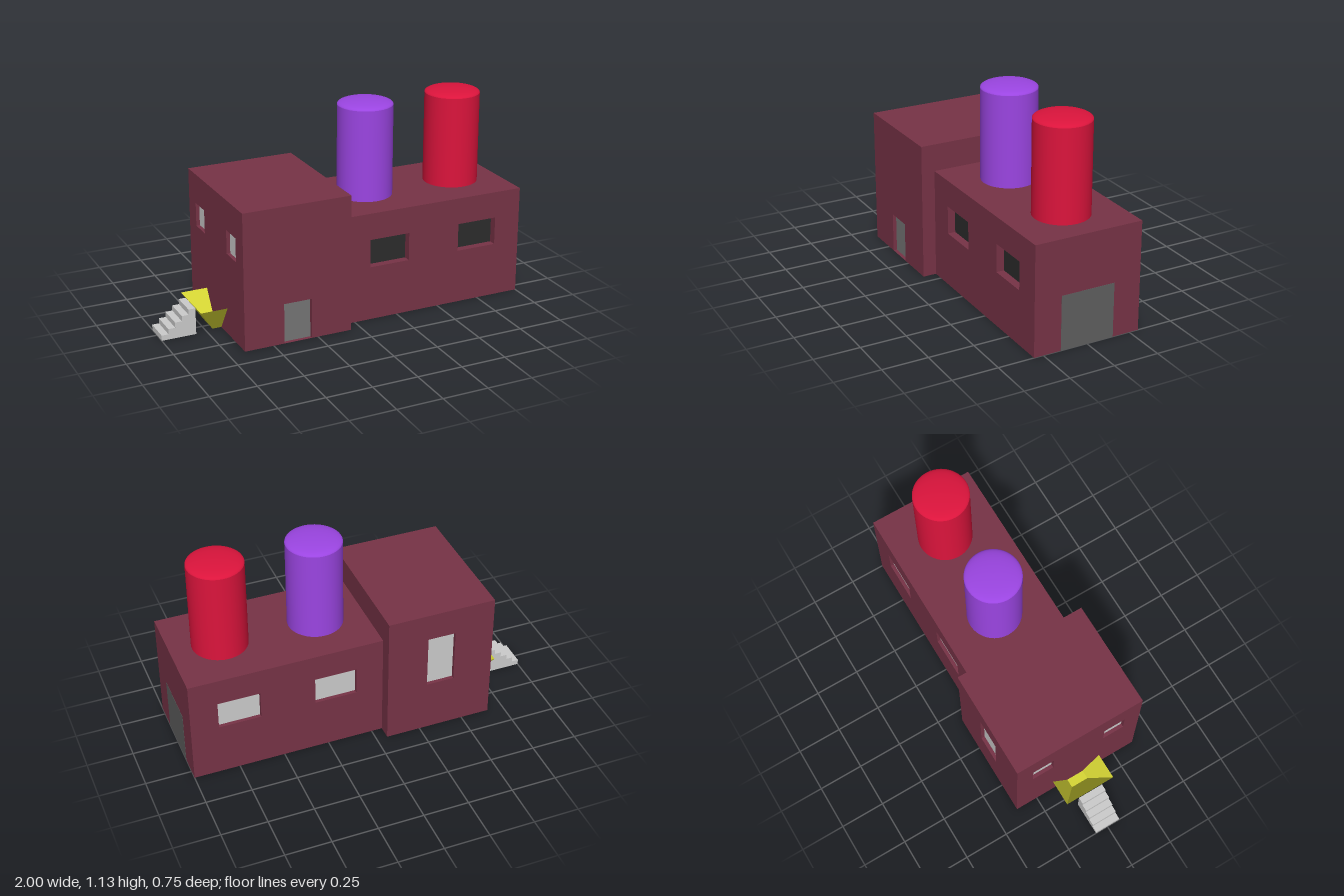
import * as THREE from 'three';

const mat = (color, side = THREE.FrontSide) => new THREE.MeshStandardMaterial({ color, side });
const wallMat = mat(0x773346);
const greyMat = mat(0xcccccc);
const darkMat = mat(0x2c2c2c);
const frontDoorMat = mat(0x757575);
const gateMat = mat(0x5f5f5f);
const hopperMat = mat(0xd8d835, THREE.DoubleSide);
hopperMat.flatShading = true;

const BASE = 0.005;

function add(parent, name, geometry, material) {
  const mesh = new THREE.Mesh(geometry, material);
  mesh.name = name;
  parent.add(mesh);
  return mesh;
}

// Box given by its two opposite corners
function block(parent, name, [x0, y0, z0], [x1, y1, z1], material) {
  const mesh = add(parent, name, new THREE.BoxGeometry(x1 - x0, y1 - y0, z1 - z0), material);
  mesh.position.set((x0 + x1) / 2, (y0 + y1) / 2, (z0 + z1) / 2);
  return mesh;
}

function rect(Type, [u0, v0, u1, v1]) {
  return new Type([[u0, v0], [u1, v0], [u1, v1], [u0, v1]].map(p => new THREE.Vector2(...p)));
}

// Wall skin in its own xy plane, outer face at z = depth, with a pane set into each opening
function pierced(parent, name, outline, openings, depth, paneName, paneMat) {
  const wall = new THREE.Group();
  wall.name = name;
  const shape = rect(THREE.Shape, outline);
  shape.holes = openings.map(o => rect(THREE.Path, o));
  add(wall, name + 'Skin', new THREE.ExtrudeGeometry(shape, { depth, bevelEnabled: false }), wallMat);
  for (const [u0, v0, u1, v1] of openings) {
    block(wall, paneName, [u0, v0, -0.002], [u1, v1, 0.002], paneMat);
  }
  parent.add(wall);
  return wall;
}

// Back walls are turned round, so their x ranges are mirrored
const flip = ([u0, v0, u1, v1]) => [-u1, v0, -u0, v1];

function makeHall() {
  const hall = new THREE.Group();
  hall.name = 'hall';
  const [x0, x1, top, z] = [-0.06, 1, 0.607, 0.302];
  const [front, back] = [0.045, 0.022];
  const outline = [x0, BASE, x1, top];
  const windows = [[0.09, 0.305, 0.32, 0.46], [0.62, 0.305, 0.85, 0.46]];
  block(hall, 'hallCore', [x0, BASE, -z + back], [x1, top, z - front], wallMat);
  pierced(hall, 'hallFront', outline, windows, front, 'frontWindow', darkMat).position.z = z - front;
  const rear = pierced(hall, 'hallBack', flip(outline), windows.map(flip), back, 'backWindow', greyMat);
  rear.rotation.y = Math.PI;
  rear.position.z = -z + back;
  block(hall, 'endGate', [x1 - 0.01, BASE, -0.151], [x1 + 0.001, 0.305, 0.151], gateMat);
  return hall;
}

function makeTower() {
  const tower = new THREE.Group();
  tower.name = 'tower';
  const [x0, x1, top, z, d] = [-0.66, -0.06, 0.757, 0.377, 0.022];
  const outline = [x0, BASE, x1, top];
  block(tower, 'towerCore', [x0 + d, BASE, -z + d], [x1, top, z - d], wallMat);
  pierced(tower, 'towerFront', outline, [[-0.44, BASE + 0.001, -0.285, 0.227]], d, 'frontDoor', frontDoorMat)
    .position.z = z - d;
  const rear = pierced(tower, 'towerBack', flip(outline), [flip([-0.44, 0.3, -0.285, 0.602])], d,
    'tallWindow', greyMat);
  rear.rotation.y = Math.PI;
  rear.position.z = -z + d;
  const side = pierced(tower, 'towerEnd', [-z + d, BASE, z - d, top],
    [[-0.28, 0.462, -0.155, 0.592], [0.155, 0.462, 0.28, 0.592]], d, 'endWindow', greyMat);
  side.rotation.y = -Math.PI / 2;
  side.position.x = x0 + d;
  return tower.add(side);
}

// Round chimney with a shallow domed top
function makeChimney(name, x, color) {
  const side = [[0.15, 0.6], [0.15, 1.108]].map(p => new THREE.Vector2(...p));
  const dome = [];
  for (let i = 0; i <= 10; i++) {
    const a = (i / 10) * Math.PI / 2;
    dome.push(new THREE.Vector2(0.15 * Math.cos(a), 1.108 + 0.027 * Math.sin(a)));
  }
  const group = new THREE.Group();
  group.name = name;
  const material = mat(color);
  add(group, name + 'Shaft', new THREE.LatheGeometry(side, 48), material);
  add(group, name + 'Cap', new THREE.LatheGeometry(dome, 48), material);
  group.position.x = x;
  return group;
}

// Open square funnel, half sunk into the tower
function makeHopper() {
  const hopper = new THREE.Group();
  hopper.name = 'hopper';
  const [topHalf, bottomHalf, top] = [0.148, 0.05, 0.152];
  const height = top - BASE;
  const sides = new THREE.CylinderGeometry(topHalf * Math.SQRT2, bottomHalf * Math.SQRT2, height, 4, 1, true);
  sides.rotateY(Math.PI / 4);
  add(hopper, 'hopperSides', sides, hopperMat).position.y = BASE + height / 2;
  const floor = add(hopper, 'hopperFloor', new THREE.PlaneGeometry(bottomHalf * 2, bottomHalf * 2), hopperMat);
  floor.rotation.x = -Math.PI / 2;
  floor.position.y = BASE;
  hopper.position.x = -0.66;
  return hopper;
}

// Five solid steps climbing to the hopper rim
function makeStairs() {
  const [x0, x1, top, steps, half] = [-1, -0.81, 0.152, 5, 0.074];
  const run = (x1 - x0) / steps;
  const rise = (top - BASE) / steps;
  const shape = new THREE.Shape().moveTo(x0, BASE);
  for (let i = 0; i < steps; i++) {
    shape.lineTo(x0 + i * run, BASE + (i + 1) * rise);
    shape.lineTo(x0 + (i + 1) * run, BASE + (i + 1) * rise);
  }
  shape.lineTo(x1, BASE);
  const geometry = new THREE.ExtrudeGeometry(shape, { depth: half * 2, bevelEnabled: false });
  geometry.translate(0, 0, -half);
  const stairs = new THREE.Mesh(geometry, greyMat);
  stairs.name = 'stairs';
  return stairs;
}

export function createModel() {
  const model = new THREE.Group();
  model.name = 'factory';
  model.add(
    makeHall(),
    makeTower(),
    makeChimney('purpleChimney', 0.205, 0x9b45e2),
    makeChimney('redChimney', 0.733, 0xdc143c),
    makeHopper(),
    makeStairs()
  );
  return model;
}
